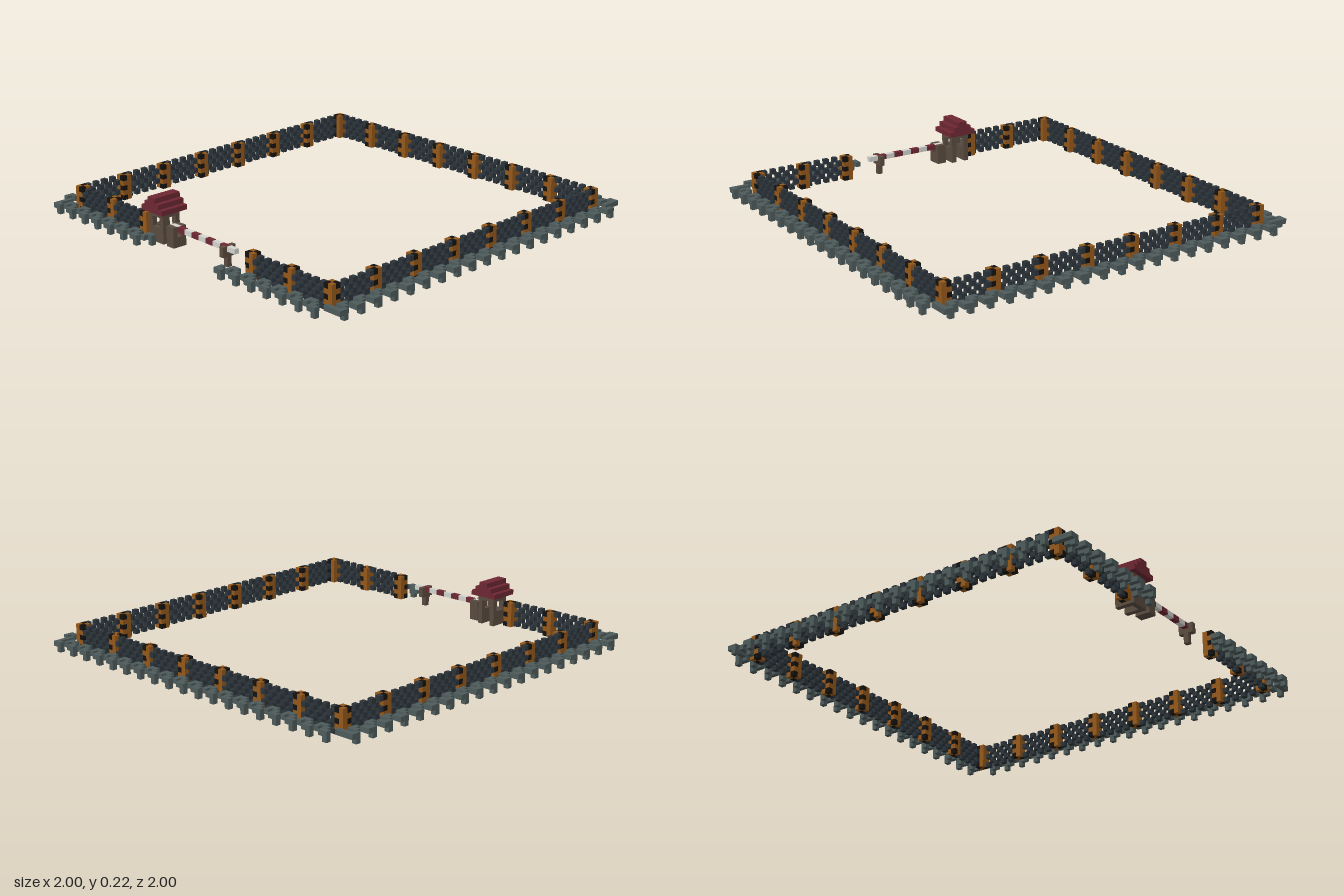
import * as THREE from 'three';
import { mergeGeometries } from 'three/addons/utils/BufferGeometryUtils.js';

const U = 0.025; // one block

const mat = (name, color) => {
  const m = new THREE.MeshStandardMaterial({ color });
  m.name = name;
  return m;
};

export function createModel() {
  const model = new THREE.Group();
  const steel = mat('wire grey', 0x4e5b5b);
  const slate = mat('fence slate', 0x2b343a);
  const orange = mat('post orange', 0x95581a);
  const black = mat('post black', 0x141210);
  const wood = mat('hut wood', 0x5a4c40);
  const maroon = mat('roof maroon', 0x6e2733);
  const white = mat('barrier white', 0xd4d5cf);

  // Box measured in blocks from its lowest corner
  const block = (x, y, z, w = 1, h = 1, d = 1) =>
    new THREE.BoxGeometry(w * U, h * U, d * U)
      .translate((x + w / 2) * U, (y + h / 2) * U, (z + d / 2) * U);
  const add = (name, material, geos, parent = model) => {
    const mesh = new THREE.Mesh(mergeGeometries(geos), material);
    mesh.name = name;
    parent.add(mesh);
  };

  // Turn a block cell around the centre by quarter turns
  const turn = (x, z, side) => {
    for (let i = 0; i < side; i++) [x, z] = [-1 - z, x];
    return [x, z];
  };

  // Coil rows from outside to inside: filled steps of four, and the step with a foot
  const coil = [
    { steps: [0, 1], foot: 0 },
    { steps: [1, 3] },
    { steps: [2, 3], foot: 2 },
  ];
  const isPost = s => (s + 36) % 10 < 2;

  ['back', 'left', 'front', 'right'].forEach((sideName, side) => {
    const front = side === 2;
    const wire = [], mesh = [], posts = [], marks = [];
    const put = (list, s, y, depth) => {
      const [x, z] = turn(s, depth, side);
      list.push(block(x, y, z));
    };

    // Coiled wire standing on single feet, open at the gate
    for (let s = -36; s < 38; s++) {
      if (front && s >= -10 && s < 10) continue;
      const step = (s + 36) % 4;
      coil.forEach(({ steps, foot }, row) => {
        if (steps.includes(step)) put(wire, s, 1, row - 40);
        if (foot === step) put(wire, s, 0, row - 40);
      });
    }
    // Corner link to the next coil
    for (const depth of [-38, -37]) put(wire, 37, 1, depth);

    // Chequered fence and orange posts with black notches on opposite corners;
    // the last corner belongs to the next side
    for (let s = -36; s < 34; s++) {
      if (front && s >= -14 && s < 14) continue;
      for (let y = 0; y < 5; y++) {
        if (isPost(s)) {
          for (const depth of [-36, -35]) {
            const notch = y % 2 === 0 && (s + depth) % 2 !== 0;
            put(notch ? marks : posts, s, y, depth);
          }
        } else if ((s + y) % 2 === 0) {
          put(mesh, s, y, -36);
        }
      }
    }
    add(sideName + 'Wire', steel, wire);
    add(sideName + 'Fence', slate, mesh);
    add(sideName + 'Posts', orange, posts);
    add(sideName + 'PostMarks', black, marks);
  });

  // Guard hut: low walls, corner posts, top frame and stepped roof
  const hut = new THREE.Group();
  hut.name = 'guardHut';
  model.add(hut);
  const walls = [];
  for (const x of [-13, -10]) {
    for (const z of [32, 35]) walls.push(block(x, 0, z, 1, 6, 1));
    walls.push(block(x, 0, 33, 1, 3, 2), block(x, 5, 33, 1, 1, 2));
  }
  walls.push(block(-12, 0, 35, 2, 3, 1));
  for (const z of [32, 35]) walls.push(block(-12, 5, z, 2, 1, 1));
  add('hutWalls', wood, walls, hut);
  add('hutRoof', maroon, [0, 1, 2].map(i => block(-14 + i, 6 + i, 31, 6 - 2 * i, 1, 6)), hut);

  // Barrier: pivot stand, striped boom and forked rest
  const barrier = new THREE.Group();
  barrier.name = 'barrier';
  model.add(barrier);
  const stand = [block(-8, 0, 33, 2, 4, 1), block(-8, 0, 35, 2, 4, 1), block(-8, 0, 34, 2, 2, 1)];
  stand.push(block(7, 0, 34, 1, 3, 1));
  for (const z of [33, 35]) stand.push(block(7, 2, z, 1, 2, 1));
  add('barrierStands', wood, stand, barrier);
  const red = [], pale = [];
  for (let x = -8; x < 10; x += 2) {
    const isRed = (x + 8) % 4 === 2;
    (isRed ? red : pale).push(block(x, 3, 34, 2, 1, 1));
  }
  add('boomRedStripes', maroon, red, barrier);
  add('boomWhiteStripes', white, pale, barrier);

  return model;
}
